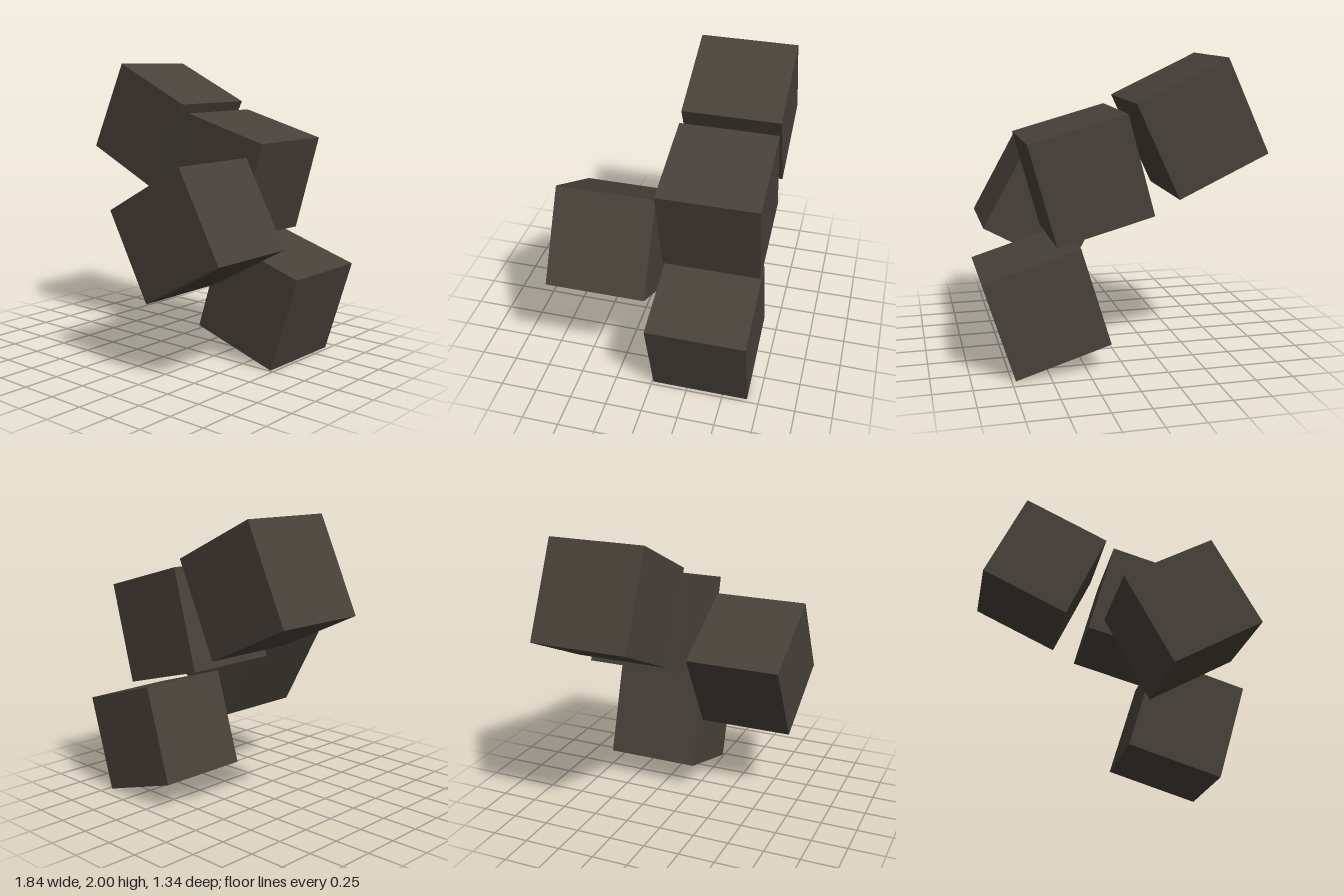
import * as THREE from 'three';

export function createModel() {
  const group = new THREE.Group();
  group.name = 'tumblingBlocks';

  const darkStone = new THREE.MeshStandardMaterial({ color: 0x48413a });
  darkStone.name = 'dark warm stone';

  // One shared block, slightly taller than wide
  const block = new THREE.BoxGeometry(0.648, 0.673, 0.66);

  // Name, centre x, y, z and tilt in degrees
  const blocks = [
    ['topBlock', -0.487, 1.56, -0.34, -25],
    ['upperBlock', 0.227, 1.26, -0.34, -15.3],
    ['frontBlock', 0.383, 0.958, 0.34, -61],
    ['bottomBlock', 0.513, 0.422, -0.34, -17],
  ];
  for (const [name, x, y, z, tilt] of blocks) {
    const mesh = new THREE.Mesh(block, darkStone);
    mesh.name = name;
    mesh.position.set(x, y, z);
    mesh.rotation.z = THREE.MathUtils.degToRad(tilt);
    group.add(mesh);
  }
  return group;
}
